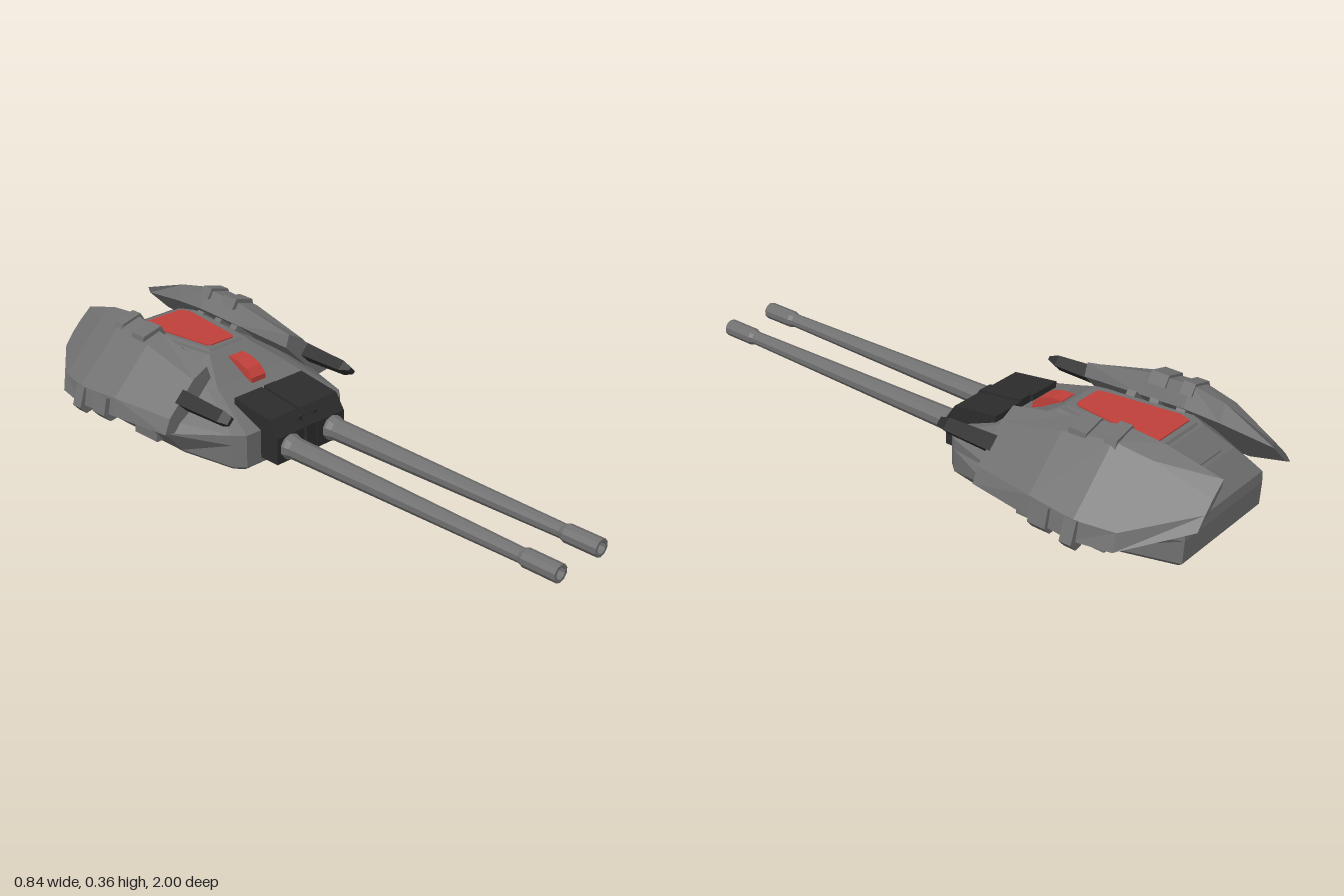
import * as THREE from 'three';

const CX = -0.01; // hull centre line

const paint = (name, color) => {
  const m = new THREE.MeshStandardMaterial({ color, flatShading: true });
  m.name = name;
  return m;
};

// Skin a list of matching cross-sections and close both ends; faces always point outwards.
function loft(rings) {
  const n = rings[0].length, tris = [];
  for (let r = 0; r + 1 < rings.length; r++) {
    for (let i = 0; i < n; i++) {
      const j = (i + 1) % n, [a, b] = [rings[r], rings[r + 1]];
      tris.push([a[i], a[j], b[j]], [a[i], b[j], b[i]]);
    }
  }
  const first = rings[0], last = rings[rings.length - 1];
  for (let i = 1; i + 1 < n; i++) {
    tris.push([first[0], first[i + 1], first[i]], [last[0], last[i], last[i + 1]]);
  }
  const v = (p) => new THREE.Vector3(...p);
  const volume = tris.reduce((sum, t) => sum + v(t[0]).dot(v(t[1]).cross(v(t[2]))), 0);
  if (volume < 0) tris.forEach((t) => t.reverse());
  const geo = new THREE.BufferGeometry();
  geo.setAttribute('position', new THREE.Float32BufferAttribute(tris.flat(2), 3));
  geo.computeVertexNormals();
  return geo;
}

// Symmetric horizontal ring from right-hand [x, z] points listed front to back.
const ring = (y, half) => [
  ...half.map(([x, z]) => [x, y, z]),
  ...half.slice().reverse().map(([x, z]) => [-x, y, z]),
];

// Side profile of [z, y] points swept between two x positions.
const sweep = (x0, x1, profile) => loft([x0, x1].map((x) => profile.map(([z, y]) => [x, y, z])));

export function createModel() {
  const model = new THREE.Group();
  model.name = 'twinGunTurret';
  const grey = paint('armourGrey', 0x707070);
  const dark = paint('darkMetal', 0x2c2c2c);
  const red = paint('warningRed', 0xc0403a);

  const add = (parent, name, geo, mat, x = 0, y = 0, z = 0) => {
    const mesh = new THREE.Mesh(geo, mat);
    mesh.name = name;
    mesh.position.set(x, y, z);
    parent.add(mesh);
    return mesh;
  };

  // Faceted hull, stacked from the floor to the roof
  add(model, 'hull', loft([
    ring(0, [[0.19, -0.14], [0.215, -0.17], [0.25, -0.36], [0.25, -0.71], [0.185, -0.915]]),
    ring(0.02, [[0.205, -0.115], [0.235, -0.15], [0.27, -0.35], [0.27, -0.72], [0.2, -0.935]]),
    ring(0.095, [[0.205, -0.115], [0.235, -0.15], [0.33, -0.36], [0.33, -0.7], [0.2, -0.938]]),
    ring(0.13, [[0.205, -0.115], [0.235, -0.15], [0.3, -0.36], [0.3, -0.7], [0.2, -0.935]]),
    ring(0.21, [[0.15, -0.31], [0.17, -0.34], [0.195, -0.4], [0.2, -0.76], [0.14, -0.87]]),
    ring(0.272, [[0.085, -0.42], [0.09, -0.43], [0.1, -0.5], [0.127, -0.74], [0.1, -0.79]]),
  ]), grey, CX);

  // Roof frame and its red panel
  add(model, 'roofFrame', loft([
    ring(0.265, [[0.075, -0.425], [0.115, -0.735], [0.09, -0.785]]),
    ring(0.28, [[0.068, -0.44], [0.105, -0.73], [0.085, -0.775]]),
  ]), grey, CX);
  const panel = [[0.047, -0.455], [0.058, -0.47], [0.09, -0.72], [0.077, -0.757]];
  add(model, 'roofPanel', loft([ring(0.278, panel), ring(0.284, panel)]), red, CX);
  add(model, 'rearRoofPlate', sweep(-0.085, 0.085, [
    [-0.80, 0.25], [-0.805, 0.268], [-0.86, 0.222], [-0.865, 0.2],
  ]), grey, CX);

  // Red latch on the front slope
  add(model, 'frontLatch', sweep(-0.03, 0.03, [
    [-0.28, 0.19], [-0.28, 0.215], [-0.305, 0.24], [-0.35, 0.256], [-0.39, 0.258], [-0.39, 0.235],
  ]), red, CX);

  // Gun mantlet: two outer blocks around a raised spine
  const mantlet = [[-0.04, 0.035], [-0.04, 0.125], [-0.075, 0.178], [-0.235, 0.2], [-0.235, 0.035]];
  const spine = mantlet.map(([z, y]) => [z + 0.004, y > 0.1 ? y + 0.004 : y]);
  for (const side of [-1, 1]) {
    add(model, 'mantletBlock', sweep(side * 0.03, side * 0.146, mantlet), dark, CX);
  }
  add(model, 'mantletSpine', sweep(-0.024, 0.024, spine), dark, CX);
  add(model, 'mantletCore', new THREE.BoxGeometry(0.08, 0.12, 0.14), dark, CX, 0.1, -0.125);

  // Tapered barrels with collars and hollow muzzles
  const barrelProfile = [
    [0, -0.08], [0.042, -0.08], [0.042, -0.03], [0.036, -0.01], [0.023, 0.87], [0.029, 0.885],
    [0.029, 1], [0.019, 1], [0.019, 0.94], [0, 0.94],
  ].map(([r, z]) => new THREE.Vector2(r, z));
  for (const side of [-1, 1]) {
    const barrel = new THREE.LatheGeometry(barrelProfile, 10).rotateX(Math.PI / 2);
    add(model, 'barrel', barrel, grey, CX + side * 0.092, 0.083, 0);
  }

  // Slanted side pods: local x runs down the slope, local y points outwards
  const podSections = [ // z, upper edge, lower edge, inner face, outer face
    [-0.33, -0.08, 0.173, 0.285, 0.345],
    [-0.55, -0.115, 0.195, 0.285, 0.385],
    [-0.71, -0.14, 0.208, 0.285, 0.39],
    [-0.83, -0.135, 0.19, 0.283, 0.365],
    [-1.0, -0.113, 0.045, 0.276, 0.292],
  ];
  for (const side of [-1, 1]) {
    const pod = new THREE.Group();
    pod.name = side > 0 ? 'leftPod' : 'rightPod';
    pod.position.x = side > 0 ? 0 : -0.01;
    pod.rotation.z = -side * Math.PI / 4;
    model.add(pod);

    add(pod, 'podShell', loft(podSections.map(([z, s0, s1, a, b]) => {
      const mid = (a + 2 * b) / 3;
      return [[s0 + 0.02, a], [s1 - 0.03, a], [s1, mid], [s1 - 0.05, b], [s0 + 0.06, b], [s0, mid]]
        .map(([s, n]) => [side * s, n, z]);
    })), grey);

    // Clamps wrapped over the upper and lower pod edges
    for (const [z, w, grow] of [[-0.6, 0.06, 0], [-0.705, 0.04, 0.012]]) {
      const clamp = (pts) => loft([z - w / 2, z + w / 2].map((c) => pts.map(([s, n]) => [side * s, n, c])));
      add(pod, 'upperClamp', clamp([
        [-0.125 - grow, 0.32], [-0.134 - grow, 0.358], [-0.07 - grow, 0.396], [-0.055, 0.385],
      ]), grey);
      add(pod, 'lowerClamp', clamp([
        [0.175, 0.3], [0.212 + grow, 0.33], [0.21 + grow, 0.365], [0.16, 0.396], [0.15, 0.38],
      ]), grey);
    }

    // Small chiselled gun at the pod front
    const gun = [[-0.125, 0.014, 0.316, 0.328], [-0.16, 0.02, 0.303, 0.338], [-0.35, 0.025, 0.3, 0.348], [-0.39, 0.022, 0.3, 0.352]];
    add(pod, 'podGun', loft(gun.map(([z, w, n0, n1]) => [[-w, n0], [w, n0], [w, n1], [-w, n1]]
      .map(([s, n]) => [side * 0.046 + s, n, z]))), dark);

    // Lower braces on the hull flank and short ribs joining roof to pod
    for (const [z, w] of [[-0.495, 0.11], [-0.72, 0.055]]) {
      add(model, 'lowerBrace', new THREE.BoxGeometry(0.07, 0.09, w), grey, CX + side * 0.265, 0.07, z);
    }
    for (const z of [-0.53, -0.61, -0.7]) {
      const rib = add(model, 'roofRib', new THREE.BoxGeometry(0.09, 0.02, 0.03), grey, CX + side * 0.15, 0.245, z);
      rib.rotation.z = -side * 0.7;
    }
  }
  return model;
}
